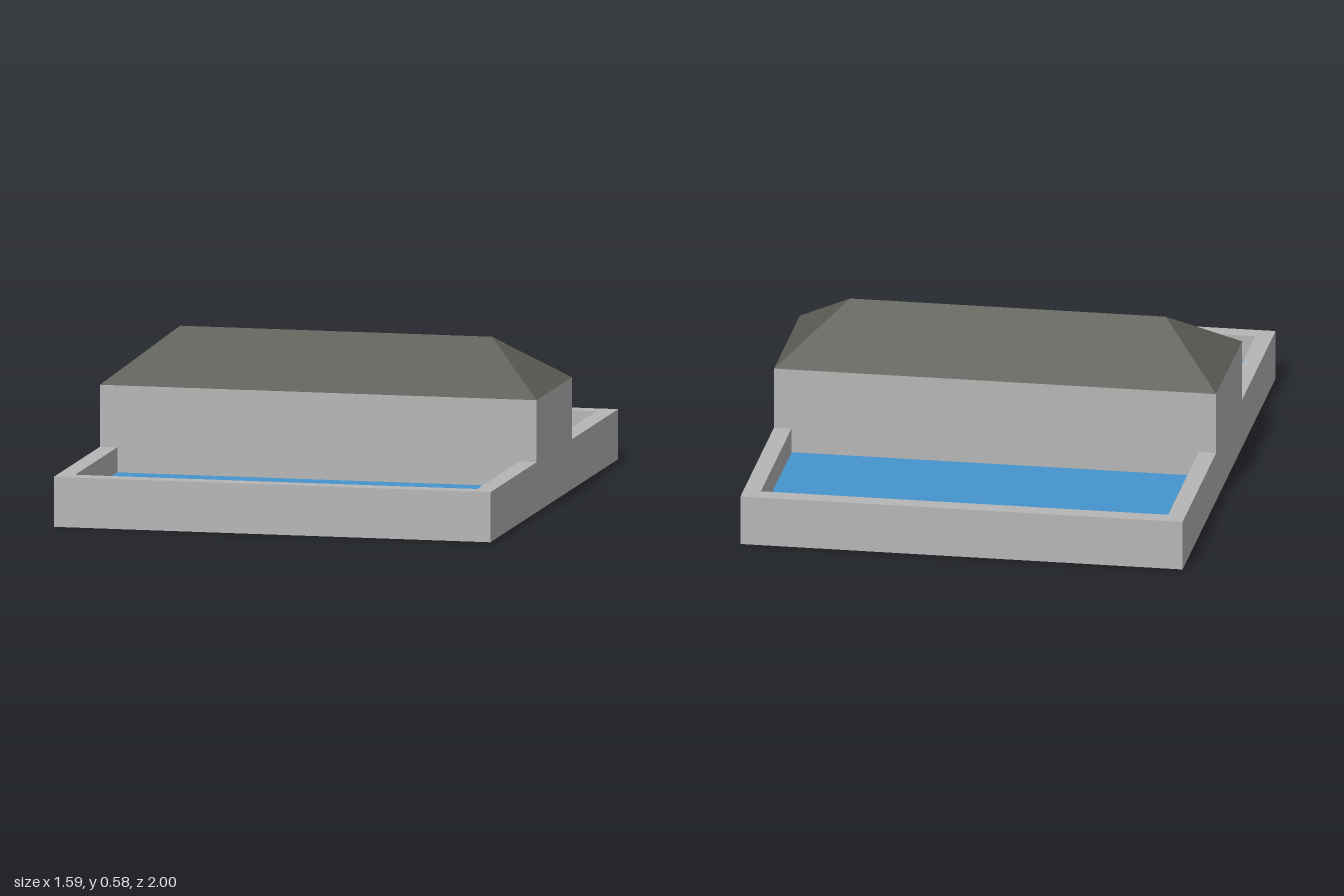
import * as THREE from 'three';

const W = 0.797, L = 1, RIM = 0.18, WATER = 0.09;   // half width, half length, heights
const IN_X = 0.734, IN_Z = 0.935;                   // inner faces of the basin walls
const HALL_Z = 0.277, EAVE = 0.403, RIDGE = 0.582, RIDGE_X = 0.569;

const concrete = new THREE.MeshStandardMaterial({ color: 0xb6b6b6 });
concrete.name = 'concrete';
const water = new THREE.MeshStandardMaterial({ color: 0x4594cd });
water.name = 'water';
const roofing = new THREE.MeshStandardMaterial({ color: 0x5f5f59 });
roofing.name = 'roofing';

function add(parent, name, geometry, material) {
  const mesh = new THREE.Mesh(geometry, material);
  mesh.name = name;
  parent.add(mesh);
  return mesh;
}

function rectangle(target, x0, y0, x1, y1) {
  target.moveTo(x0, y0);
  target.lineTo(x1, y0);
  target.lineTo(x1, y1);
  target.lineTo(x0, y1);
  target.closePath();
  return target;
}

// Hipped roof: four eave corners and two ridge ends
function hippedRoof() {
  const a = [-W, EAVE, HALL_Z], b = [W, EAVE, HALL_Z];
  const c = [W, EAVE, -HALL_Z], d = [-W, EAVE, -HALL_Z];
  const left = [-RIDGE_X, RIDGE, 0], right = [RIDGE_X, RIDGE, 0];
  const faces = [
    [a, b, right], [a, right, left],   // front slope
    [c, d, left], [c, left, right],    // back slope
    [b, c, right], [d, a, left],       // hips
    [a, d, c], [a, c, b],              // underside
  ];
  const geometry = new THREE.BufferGeometry();
  geometry.setAttribute('position', new THREE.Float32BufferAttribute(faces.flat(2), 3));
  geometry.computeVertexNormals();
  return geometry;
}

export function createModel() {
  const model = new THREE.Group();
  model.name = 'twinBasinBuilding';

  // Outer walls with an opening for each basin
  const plan = rectangle(new THREE.Shape(), -W, -L, W, L);
  plan.holes.push(
    rectangle(new THREE.Path(), -IN_X, HALL_Z, IN_X, IN_Z),
    rectangle(new THREE.Path(), -IN_X, -IN_Z, IN_X, -HALL_Z),
  );
  const walls = new THREE.ExtrudeGeometry(plan, { depth: RIM, bevelEnabled: false });
  walls.rotateX(-Math.PI / 2);
  add(model, 'basinWalls', walls, concrete);

  // Floor and water surface of both basins
  const depth = IN_Z - HALL_Z, skin = 0.008, floorTop = WATER - skin;
  for (const [side, s] of [['front', 1], ['back', -1]]) {
    const z = s * (HALL_Z + IN_Z) / 2;
    add(model, side + 'BasinFloor', new THREE.BoxGeometry(IN_X * 2, floorTop, depth), concrete)
      .position.set(0, floorTop / 2, z);
    add(model, side + 'Water', new THREE.BoxGeometry(IN_X * 2, skin, depth), water)
      .position.set(0, WATER - skin / 2, z);
  }

  // Hall across the middle
  add(model, 'hall', new THREE.BoxGeometry(W * 2, EAVE - RIM, HALL_Z * 2), concrete)
    .position.y = (EAVE + RIM) / 2;
  add(model, 'roof', hippedRoof(), roofing);

  return model;
}
